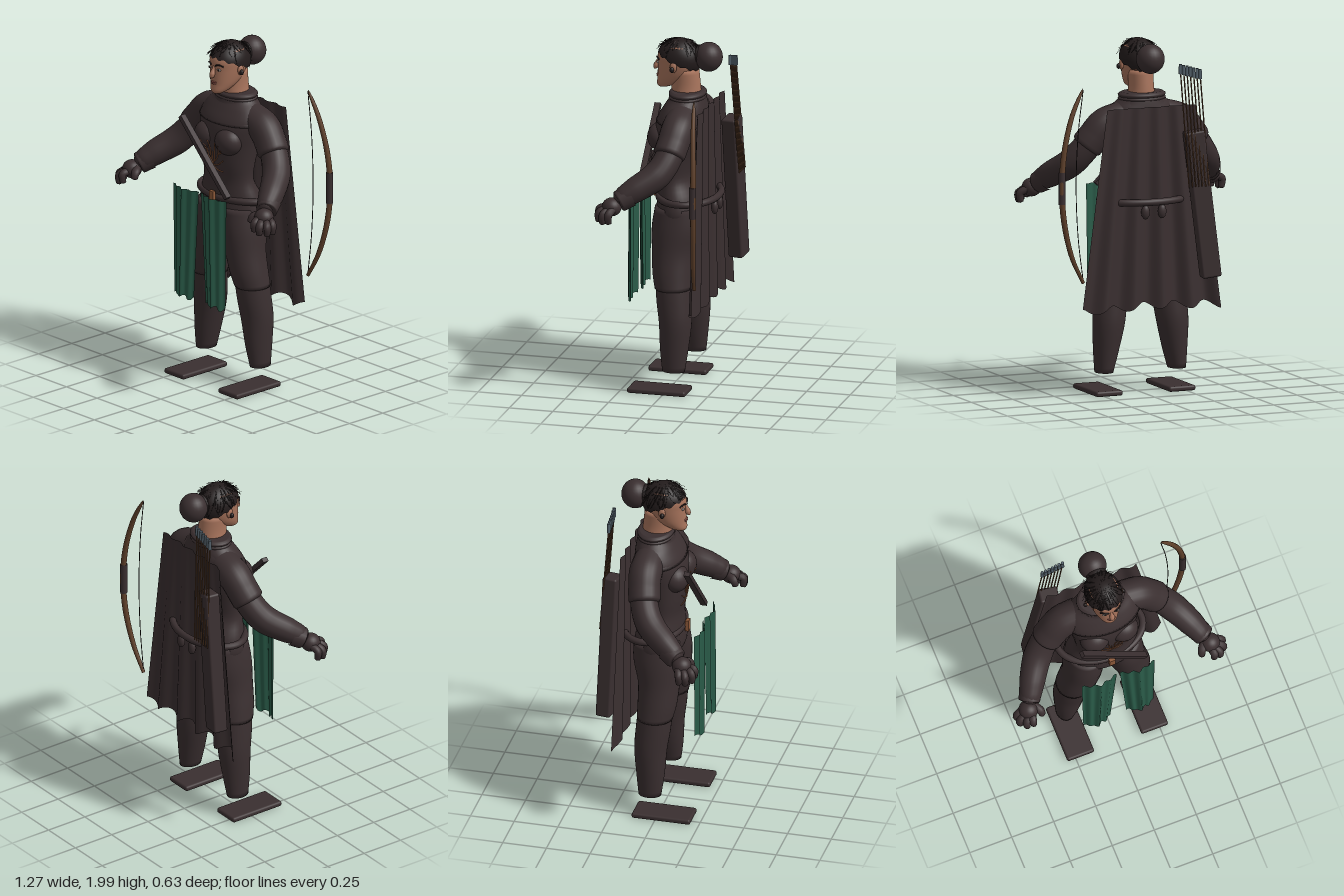
import * as THREE from 'three';
import { mergeVertices, mergeGeometries } from 'three/addons/utils/BufferGeometryUtils.js';
import { RoundedBoxGeometry } from 'three/addons/geometries/RoundedBoxGeometry.js';
import { ParametricGeometry } from 'three/addons/geometries/ParametricGeometry.js';

const paint = (name, color, side = THREE.FrontSide) => {
  const m = new THREE.MeshStandardMaterial({ color, side });
  m.name = name;
  return m;
};
const V = (x, y, z) => new THREE.Vector3(x, y, z);

// Smooth sampler through cross-sections [y, centreX, halfWidth, zFront, zBack]
function sampler(rings) {
  const a = new THREE.CatmullRomCurve3(rings.map(r => V(r[0], r[1], r[2])), false, 'catmullrom');
  const b = new THREE.CatmullRomCurve3(rings.map(r => V(r[3], r[4], 0)), false, 'catmullrom');
  return t => {
    const p = a.getPoint(t), q = b.getPoint(t);
    return { y: p.x, cx: p.y, rx: p.z, cz: (q.x + q.y) / 2, rz: (q.x - q.y) / 2 };
  };
}

// Closed loft, sections listed from bottom to top
function loft(rings, seg = 32) {
  const at = sampler(rings), n = (rings.length - 1) * 4, pos = [], idx = [];
  for (let i = 0; i <= n; i++) {
    const r = at(i / n);
    for (let j = 0; j < seg; j++) {
      const a = j / seg * Math.PI * 2;
      pos.push(r.cx + r.rx * Math.sin(a), r.y, r.cz + r.rz * Math.cos(a));
    }
  }
  const lo = at(0), hi = at(1), base = (n + 1) * seg;
  pos.push(lo.cx, lo.y, lo.cz, hi.cx, hi.y, hi.cz);
  for (let j = 0; j < seg; j++) {
    const k = (j + 1) % seg;
    for (let i = 0; i < n; i++) {
      const a = i * seg + j, b = i * seg + k;
      idx.push(a, b, b + seg, a, b + seg, a + seg);
    }
    idx.push(base, k, j, base + 1, n * seg + j, n * seg + k);
  }
  const g = new THREE.BufferGeometry();
  g.setAttribute('position', new THREE.Float32BufferAttribute(pos, 3));
  g.setIndex(idx);
  g.computeVertexNormals();
  return g;
}

// Tube through points [x, y, z, radius] with a rounded far end
function sweep(pts, n = 24, seg = 14) {
  const curve = new THREE.CatmullRomCurve3(pts.map(p => V(p[0], p[1], p[2])));
  const g = new THREE.TubeGeometry(curve, n, 1, seg), p = g.attributes.position, v = V(0, 0, 0);
  for (let i = 0; i < p.count; i++) {
    const u = Math.floor(i / (seg + 1)) / n, c = curve.getPointAt(u);
    const f = u * (pts.length - 1), k = Math.min(Math.floor(f), pts.length - 2);
    let r = THREE.MathUtils.lerp(pts[k][3], pts[k + 1][3], f - k);
    if (u > 0.9) r *= Math.sqrt(Math.max(0, 1 - ((u - 0.9) / 0.1) ** 2));
    v.fromBufferAttribute(p, i).sub(c).multiplyScalar(r).add(c);
    p.setXYZ(i, v.x, v.y, v.z);
  }
  g.deleteAttribute('uv');
  g.deleteAttribute('normal');
  const out = mergeVertices(g, 1e-5);
  out.computeVertexNormals();
  return out;
}
const thread = (pts, r, n = 8, closed = false, seg = 5) =>
  new THREE.TubeGeometry(new THREE.CatmullRomCurve3(pts.map(p => V(...p)), closed), n, r, seg, closed);

export function createModel() {
  const model = new THREE.Group();
  model.name = 'archer';
  const cloth = paint('dark cloth', 0x3a2f30), clothThin = paint('cape cloth', 0x3a2f30, THREE.DoubleSide);
  const hair = paint('hair', 0x231c1c, THREE.DoubleSide), skin = paint('skin', 0xa8745c);
  const green = paint('green cloth', 0x2a5c49, THREE.DoubleSide), wood = paint('wood', 0x60412b);
  const feather = paint('fletching', 0x54626c), copper = paint('copper', 0x8f5a3a);
  const lip = paint('lips', 0x8a4f45), white = paint('eye white', 0xb5aaa2);
  const add = (name, geo, mat, x = 0, y = 0, z = 0) => {
    const m = new THREE.Mesh(geo, mat);
    m.name = name;
    m.position.set(x, y, z);
    model.add(m);
    return m;
  };
  const blob = (name, mat, x, y, z, rx, ry, rz) =>
    add(name, new THREE.SphereGeometry(1, 24, 16), mat, x, y, z).scale.set(rx, ry, rz);

  // Tunic, shoulder mantle and collar
  const body = [[0.93, 0, 0.15, 0.06, -0.13], [1.0, 0, 0.215, 0.1, -0.18], [1.1, 0, 0.205, 0.095, -0.16],
    [1.2, 0, 0.17, 0.09, -0.115], [1.3, 0, 0.175, 0.105, -0.13], [1.4, 0, 0.19, 0.112, -0.16],
    [1.48, 0, 0.205, 0.112, -0.17], [1.55, 0, 0.215, 0.095, -0.175], [1.61, 0, 0.19, 0.06, -0.17],
    [1.65, 0, 0.145, 0.035, -0.165], [1.68, 0, 0.12, 0.025, -0.16]];
  add('tunic', loft(body, 40), cloth);
  add('mantle', loft(body.slice(7).map(([y, x, w, f, b]) => [y - 0.015, x, w + 0.008, f + 0.008, b - 0.006]), 40), cloth);
  for (const y of [1.665, 1.685])
    add('collar', loft([[y - 0.015, 0, 0.13, 0.03, -0.165], [y, 0, 0.138, 0.036, -0.17], [y + 0.013, 0, 0.12, 0.022, -0.155]]), cloth);

  for (const s of [-1, 1]) {
    blob('chest', cloth, s * 0.085, 1.44, 0.065, 0.085, 0.08, 0.075);
    // Arms and short oversleeves
    add('arm', sweep([[s * 0.12, 1.55, -0.07, 0.09], [s * 0.24, 1.51, -0.07, 0.085], [s * 0.33, 1.4, -0.05, 0.078],
      [s * 0.4, 1.31, 0, 0.08], [s * 0.47, 1.24, 0.1, 0.072], [s * 0.53, 1.17, 0.21, 0.052]], 36, 20), cloth);
    add('sleeve', sweep([[s * 0.12, 1.56, -0.07, 0.09], [s * 0.23, 1.52, -0.07, 0.093], [s * 0.29, 1.455, -0.06, 0.09],
      [s * 0.34, 1.39, -0.045, 0.09]], 28, 20), cloth);
    // Gloves
    add('cuff', sweep([[s * 0.49, 1.21, 0.13, 0.066], [s * 0.525, 1.175, 0.19, 0.06]], 16), cloth);
    blob('palm', cloth, s * 0.54, 1.15, 0.22, 0.055, 0.052, 0.055);
    [[0.605, 1.075, 0.22], [0.6, 1.07, 0.255], [0.57, 1.075, 0.285], [0.535, 1.09, 0.29]].forEach(([x, y, z], i) =>
      add('finger', sweep([[s * (0.57 - i * 0.012), 1.145, 0.205 + i * 0.02, 0.022],
        [s * (x + 0.005), y + 0.045, z, 0.022], [s * x, y - 0.01, z, 0.017]], 14, 10), cloth));
    add('thumb', sweep([[s * 0.51, 1.16, 0.21, 0.026], [s * 0.48, 1.145, 0.25, 0.024], [s * 0.475, 1.11, 0.265, 0.018]], 14, 10), cloth);

    // Legs
    add('lowerLeg', loft([[0.13, s * 0.22, 0.05, 0.018, -0.11], [0.25, s * 0.207, 0.07, 0.033, -0.125],
      [0.4, s * 0.192, 0.09, 0.043, -0.14], [0.52, s * 0.18, 0.095, 0.06, -0.135], [0.64, s * 0.168, 0.095, 0.07, -0.125]]), cloth);
    add('thigh', loft([[0.595, s * 0.174, 0.1, 0.072, -0.13], [0.68, s * 0.155, 0.106, 0.09, -0.13],
      [0.8, s * 0.13, 0.11, 0.1, -0.135], [0.93, s * 0.115, 0.113, 0.105, -0.165], [1.05, s * 0.1, 0.11, 0.09, -0.165]]), cloth);
    add('sole', new RoundedBoxGeometry(0.16, 0.03, 0.335, 2, 0.012), cloth, s * 0.22, 0.02, 0.035);

    // Green front panels with a raised centre fold
    add('frontPanel', new ParametricGeometry((u, v, t) => {
      const w = THREE.MathUtils.lerp(0.104, 0.08, v), k = u * 2 - 1;
      const fold = 0.03 * Math.max(0, 1 - Math.abs(k)) + 0.006 * Math.cos(k * 11);
      const curl = 0.03 * Math.max(0, Math.abs(k) - 0.7) * v;
      t.set(s * (0.113 + 0.015 * v) + k * w, 1.15 - 0.64 * v + curl + 0.012 * v * Math.sin(k * 7), 0.206 + fold);
    }, 28, 12), green);

    // Facial features
    blob('eye', white, s * 0.036, 1.853, 0.095, 0.015, 0.007, 0.006);
    blob('iris', hair, s * 0.035, 1.853, 0.0995, 0.006, 0.006, 0.004);
    add('brow', thread([[s * 0.016, 1.876, 0.105], [s * 0.038, 1.884, 0.1], [s * 0.06, 1.874, 0.083]], 0.0045), hair);
    blob('ear', skin, s * 0.098, 1.845, -0.01, 0.012, 0.03, 0.02);
    blob('earring', hair, s * 0.112, 1.835, -0.005, 0.012, 0.016, 0.012);
  }

  // Neck, head and face
  add('neck', loft([[1.64, 0, 0.085, 0.02, -0.145], [1.72, 0, 0.07, 0.025, -0.14], [1.82, 0, 0.072, 0.03, -0.13]]), skin);
  add('head', loft([[1.708, 0, 0.025, 0.1, 0.045], [1.725, 0, 0.048, 0.109, 0.0], [1.76, 0, 0.07, 0.105, -0.06],
    [1.8, 0, 0.083, 0.104, -0.1], [1.85, 0, 0.092, 0.102, -0.12], [1.9, 0, 0.095, 0.102, -0.13],
    [1.95, 0, 0.08, 0.075, -0.115], [1.98, 0, 0.04, 0.02, -0.06]]), skin);
  add('nose', sweep([[0, 1.868, 0.096, 0.008], [0, 1.84, 0.109, 0.01], [0, 1.812, 0.116, 0.0165], [0, 1.803, 0.114, 0.012]], 16, 12), skin);
  blob('upperLip', lip, 0, 1.777, 0.103, 0.024, 0.005, 0.008);
  blob('lowerLip', lip, 0, 1.768, 0.103, 0.02, 0.006, 0.009);

  // Hair cap, higher over the forehead and lower behind
  const hairPoint = (a, v, out = 0) => {
    const hem = 1.865 + 0.05 * Math.cos(a) + 0.006 * Math.sin(a * 13), y = THREE.MathUtils.lerp(1.99, hem, v * v);
    const r = Math.sqrt(Math.max(0, 1 - ((y - 1.875) / 0.115) ** 2)) + out;
    return [0.105 * r * Math.sin(a), y, -0.02 + 0.128 * r * Math.cos(a)];
  };
  add('hairCap', new ParametricGeometry((u, v, t) => t.set(...hairPoint(u * Math.PI * 2, v)), 64, 14), hair);
  blob('hairBun', cloth, 0, 1.895, -0.187, 0.08, 0.083, 0.078);
  add('hairTie', new THREE.TorusGeometry(0.045, 0.014, 8, 24), hair, 0, 1.9, -0.13);
  let seed = 7;
  const rnd = () => (seed = (seed * 16807) % 2147483647) / 2147483647;
  const strands = [];
  for (let i = 0; i < 110; i++) {
    const a = rnd() * Math.PI * 2, v = 0.35 + rnd() * 0.5, d = (rnd() - 0.5) * 0.5;
    const e = hairPoint(a + d, v + 0.1, 0.06 + rnd() * 0.15);
    strands.push(thread([hairPoint(a, v - 0.25), hairPoint(a + d / 2, v, 0.06), e], 0.0013, 5, false, 3));
  }
  add('looseStrands', mergeGeometries(strands), hair);

  // Belt, buckle and rear pouches
  const oval = [];
  for (let i = 0; i < 16; i++) {
    const a = i / 16 * Math.PI * 2;
    oval.push([0.25 * Math.sin(a), 1.1, -0.08 + 0.165 * Math.cos(a)]);
  }
  add('belt', thread(oval, 0.02, 64, true, 12), cloth);
  add('buckle', new THREE.BoxGeometry(0.035, 0.065, 0.02), copper, 0, 1.105, 0.113);
  for (const x of [-0.05, 0.05]) blob('pouch', cloth, x, 1.045, -0.235, 0.025, 0.04, 0.02);

  // Chest strap
  const strap = add('chestStrap', new THREE.BoxGeometry(0.54, 0.026, 0.035), cloth, -0.01, 1.345, 0.16);
  strap.rotation.z = -0.8;

  // Branching chest embroidery, following the tunic surface
  const at = sampler(body);
  const surface = (x, y) => {
    let t = 0;
    while (t < 1 && at(t).y < y) t += 0.005;
    const r = at(t), q = 1 - ((Math.abs(x) - 0.085) / 0.085) ** 2 - ((y - 1.44) / 0.08) ** 2;
    return Math.max(r.cz + r.rz * Math.sqrt(1 - (x / r.rx) ** 2), q > 0 ? 0.065 + 0.075 * Math.sqrt(q) : 0) + 0.002;
  };
  const stitch = (...p) => add('embroidery', thread(p.map(([x, y]) => [x, y, surface(x, y)]), 0.003, 10), copper);
  stitch([0, 1.25], [0, 1.32], [0, 1.37]);
  for (const s of [-1, 1]) {
    stitch([0, 1.3], [s * 0.035, 1.34], [s * 0.05, 1.39], [s * 0.075, 1.43]);
    stitch([s * 0.04, 1.36], [s * 0.065, 1.375], [s * 0.085, 1.4]);
    stitch([s * 0.015, 1.32], [s * 0.018, 1.38], [s * 0.03, 1.43]);
    stitch([0, 1.29], [s * 0.04, 1.3], [s * 0.075, 1.33]);
    stitch([0, 1.285], [s * 0.035, 1.265], [s * 0.07, 1.26]);
  }

  // Cape with folds deepening toward the hem
  add('cape', new ParametricGeometry((u, v, t) => {
    const k = u * 2 - 1, w = THREE.MathUtils.lerp(0.265, 0.415, v);
    t.set(k * w, 1.625 - 1.11 * v + v * 0.02 * Math.sin(k * 14) - v * 0.02 * Math.abs(k),
      -0.196 + (0.008 + 0.014 * v) * Math.sin(k * 15 + 1));
  }, 72, 16), clothThin);

  // Quiver and arrows
  add('quiver', new RoundedBoxGeometry(0.11, 0.83, 0.085, 2, 0.012), cloth, -0.28, 1.075, -0.262).rotation.set(0, -0.15, -0.12);
  for (let i = 0; i < 7; i++) {
    const x = -0.265 + i * 0.02, y = 1.8 + i * 0.006;
    add('arrowShaft', thread([[x - 0.035, 1.18, -0.312], [x, y, -0.27]], 0.004, 1, false, 6), wood);
    add('fletching', new THREE.CylinderGeometry(0.009, 0.011, 0.055, 8), feather, x, y + 0.005, -0.27);
  }

  // Bow, grip and string
  add('bow', sweep([[0.42, 0.67, -0.22, 0.01], [0.495, 0.82, -0.235, 0.014], [0.548, 1.02, -0.25, 0.016], [0.564, 1.215, -0.255, 0.017],
    [0.548, 1.41, -0.25, 0.016], [0.495, 1.61, -0.235, 0.014], [0.42, 1.765, -0.22, 0.01]], 48, 12), wood);
  add('bowGrip', new THREE.CylinderGeometry(0.02, 0.02, 0.18, 12), cloth, 0.562, 1.215, -0.252);
  add('bowString', thread([[0.42, 0.68, -0.22], [0.45, 0.92, -0.22], [0.463, 1.215, -0.22], [0.45, 1.51, -0.22], [0.42, 1.755, -0.22]], 0.0025, 24), hair);
  return model;
}
